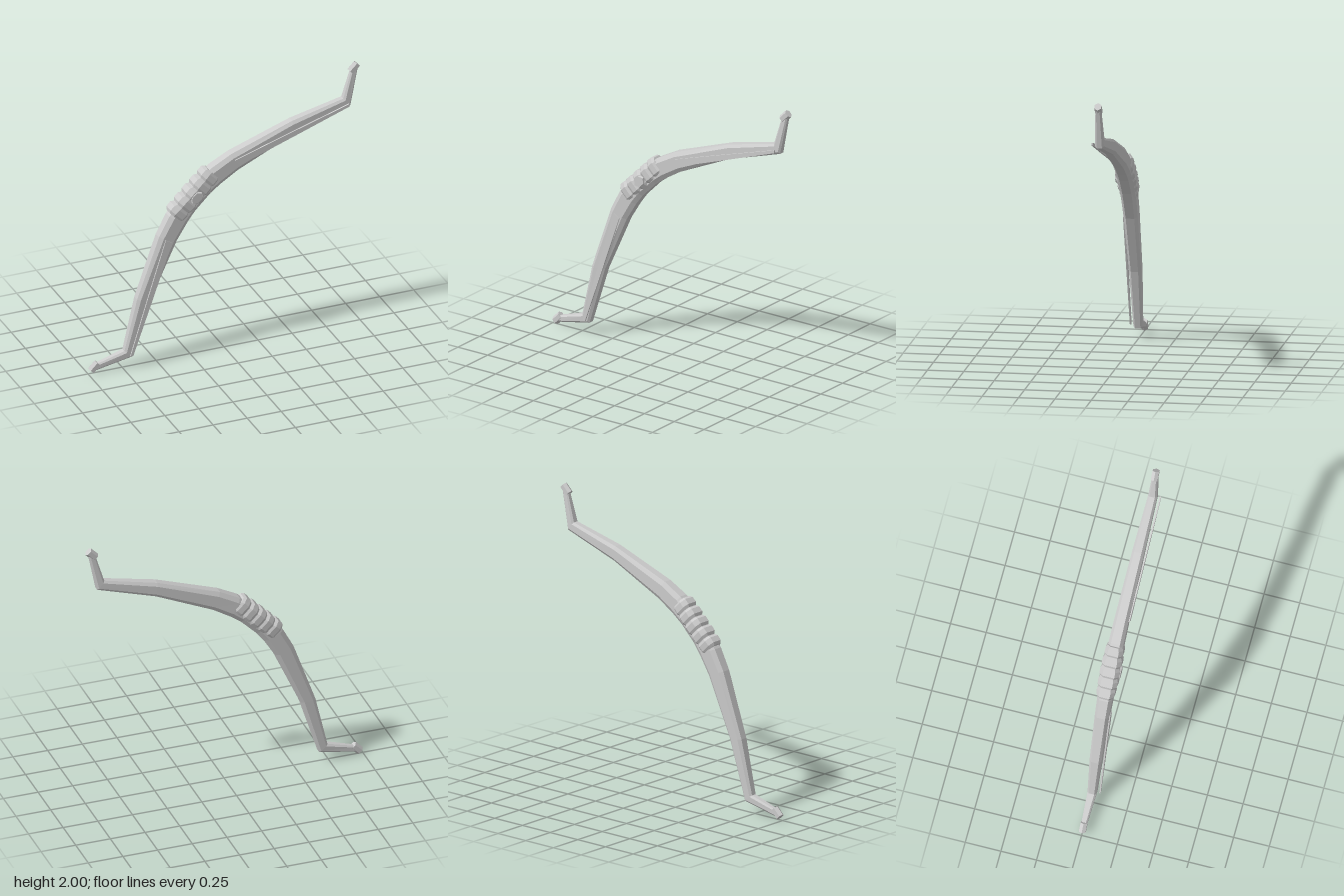
import * as THREE from 'three';

const mat = new THREE.MeshStandardMaterial({ color: 0xcccccc, flatShading: true });

// Loft of bevelled octagons. Station: outer [u, v], inner [u, v], half width z, flat fraction
function loft(stations, flatV = 0.58, flatZ = 0.6) {
  const pos = [];
  const rings = stations.map(([uo, vo, ui, vi, w]) => {
    const shape = [[1, -flatZ], [1, flatZ], [flatV, 1], [-flatV, 1], [-1, flatZ], [-1, -flatZ], [-flatV, -1], [flatV, -1]];
    return shape.map(([s, z]) => {
      const t = (s + 1) / 2;
      return [ui + (uo - ui) * t, vi + (vo - vi) * t, z * w];
    });
  });
  const tri = (a, b, c) => pos.push(...a, ...b, ...c);
  for (let i = 0; i < rings.length - 1; i++) {
    for (let j = 0; j < 8; j++) {
      const k = (j + 1) % 8, p = rings[i], q = rings[i + 1];
      tri(p[j], p[k], q[j]);
      tri(p[k], q[k], q[j]);
    }
  }
  const first = rings[0], last = rings[rings.length - 1];
  for (let j = 1; j < 7; j++) {
    tri(first[0], first[j + 1], first[j]);
    tri(last[0], last[j], last[j + 1]);
  }
  const g = new THREE.BufferGeometry();
  g.setAttribute('position', new THREE.Float32BufferAttribute(pos, 3));
  g.computeVertexNormals();
  return g;
}

export function createModel() {
  const root = new THREE.Group();
  root.name = 'bow';
  // Work in a frame with x along the bow and y toward its outer curve
  const bow = new THREE.Group();
  bow.name = 'bowBody';
  bow.rotation.z = Math.PI / 4;
  bow.position.y = 1;
  root.add(bow);
  const add = (name, geo) => {
    const m = new THREE.Mesh(geo, mat);
    m.name = name;
    bow.add(m);
    return m;
  };

  // Limbs: one half, mirrored into a continuous recurved stave
  const half = [
    [0.1, 0.375, 0.08, 0.238, 0.052],
    [0.22, 0.366, 0.17, 0.225, 0.052],
    [0.375, 0.318, 0.318, 0.19, 0.049],
    [0.806, 0.113, 0.739, 0.032, 0.042],
    [1.138, -0.092, 1.131, -0.172, 0.031],
    [1.325, 0.008, 1.36, -0.022, 0.019],
  ];
  const mirrored = half.map(([a, b, c, d, w]) => [-a, b, -c, d, w]).reverse();
  add('limbs', loft([...mirrored, ...half]));

  // Ribbed grip wrap
  const ribs = 5, length = 0.4, grip = [];
  for (let i = 0; i < ribs; i++) {
    const u = -length / 2 + (i * length) / ribs, d = length / ribs;
    for (const [f, b] of [[0.02, 0], [0.25, 1], [0.75, 1], [0.98, 0]]) {
      const x = u + d * f;
      const bow2 = 0.01 * (1 - (x / 0.2) ** 2);
      grip.push([x, 0.383 + 0.014 * b, x, 0.258 - 0.006 * b, 0.05 + 0.009 * b + bow2]);
    }
  }
  add('grip', loft(grip, 0.5, 0.6));

  // Hexagonal boss on the front of the grip
  const boss = new THREE.CylinderGeometry(0.042, 0.05, 0.02, 6);
  boss.rotateX(Math.PI / 2);
  boss.rotateZ(Math.PI / 2);
  boss.scale(1.1, 0.85, 1);
  add('gripBoss', boss).position.set(0, 0.32, 0.064);

  // Front strips and hexagonal tip knobs on both limbs
  const strip = [[0.36, 0.276], [0.76, 0.067], [1.138, -0.134], [1.124, -0.148], [0.732, 0.039], [0.35, 0.223]];
  for (const [s, side] of [[1, 'upper'], [-1, 'lower']]) {
    const shape = new THREE.Shape(strip.map(([u, v]) => new THREE.Vector2(s * u, v)));
    const plate = new THREE.ExtrudeGeometry(shape, { depth: 0.01, bevelEnabled: false });
    add(side + 'LimbStrip', plate).position.z = 0.046;

    const knob = new THREE.CylinderGeometry(0.03, 0.03, 0.07, 6);
    knob.rotateY(Math.PI / 2);
    knob.rotateZ(Math.PI / 2);
    knob.scale(1, 1, 0.88);
    add(side + 'TipKnob', knob).position.set(s * 1.349, 0, 0);
  }
  return root;
}
